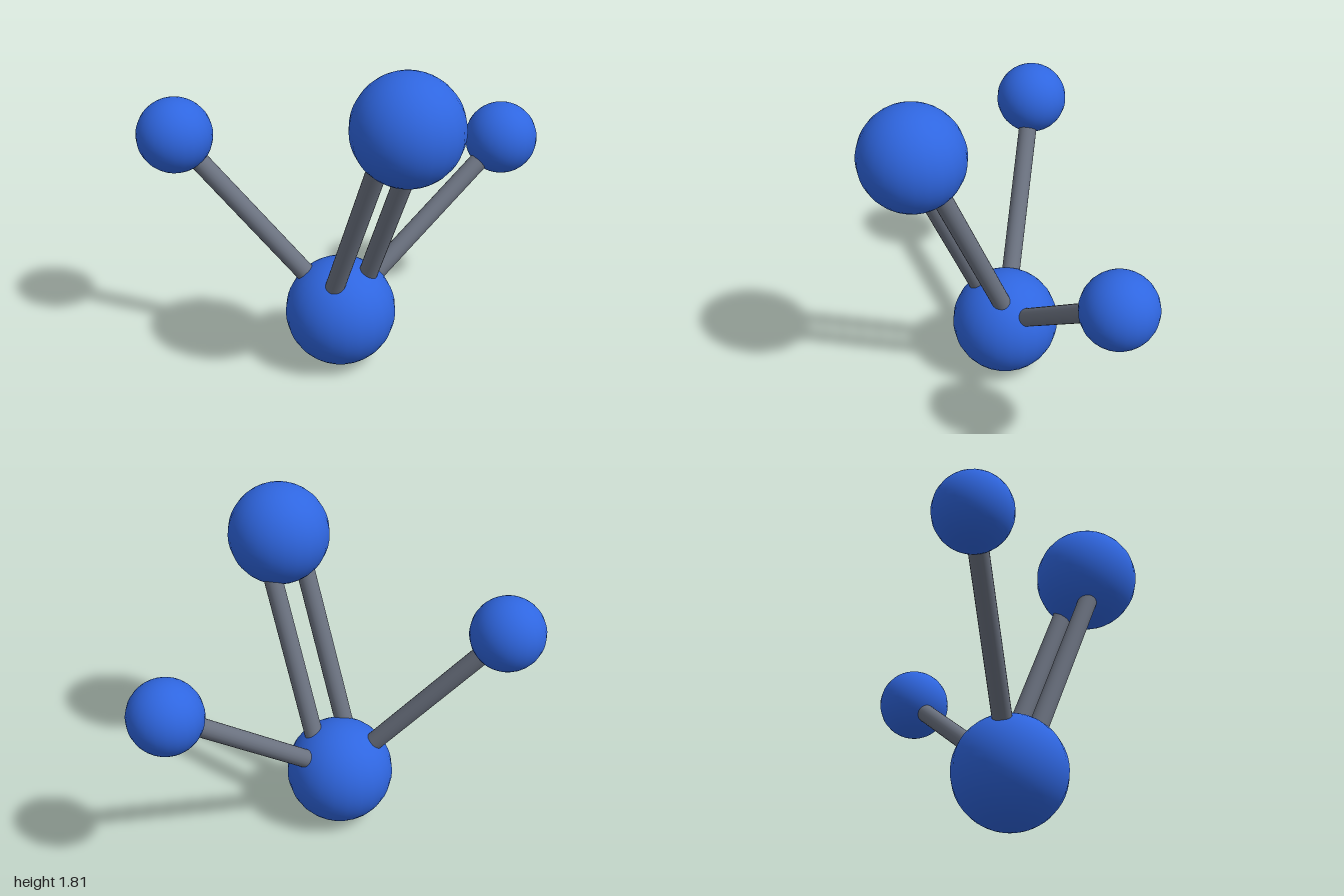
import * as THREE from 'three';

export function createModel() {
  const group = new THREE.Group();
  const blue = new THREE.MeshStandardMaterial({ color: 0x2f66e0 });
  blue.name = 'blue';
  const grey = new THREE.MeshStandardMaterial({ color: 0x6b7280 });
  grey.name = 'grey';

  const ball = (name, center, radius) => {
    const mesh = new THREE.Mesh(new THREE.SphereGeometry(radius, 24, 24), blue);
    mesh.name = name;
    mesh.position.copy(center);
    group.add(mesh);
  };

  // Rod running between two ball centres, shifted sideways along z
  const up = new THREE.Vector3(0, 1, 0);
  const rod = (name, from, to, shift = 0) => {
    const dir = to.clone().sub(from);
    const mesh = new THREE.Mesh(new THREE.CylinderGeometry(0.05, 0.05, dir.length(), 20), grey);
    mesh.name = name;
    mesh.position.copy(from).add(to).multiplyScalar(0.5);
    mesh.position.z += shift;
    mesh.quaternion.setFromUnitVectors(up, dir.normalize());
    group.add(mesh);
  };

  const base = new THREE.Vector3(0, 0.297, 0.232);
  const top = new THREE.Vector3(0.54, 1.543, 0.232);
  const front = new THREE.Vector3(-0.622, 1.257, 0.803);
  const back = new THREE.Vector3(0.089, 1.045, -0.804);

  // Balls
  ball('centreBall', base, 0.292);
  ball('upperBall', top, 0.272);
  ball('frontBall', front, 0.195);
  ball('backBall', back, 0.195);

  // Single rods and the parallel pair
  rod('frontRod', base, front);
  rod('backRod', base, back);
  rod('doubleRodFront', base, top, 0.107);
  rod('doubleRodBack', base, top, -0.107);

  return group;
}
